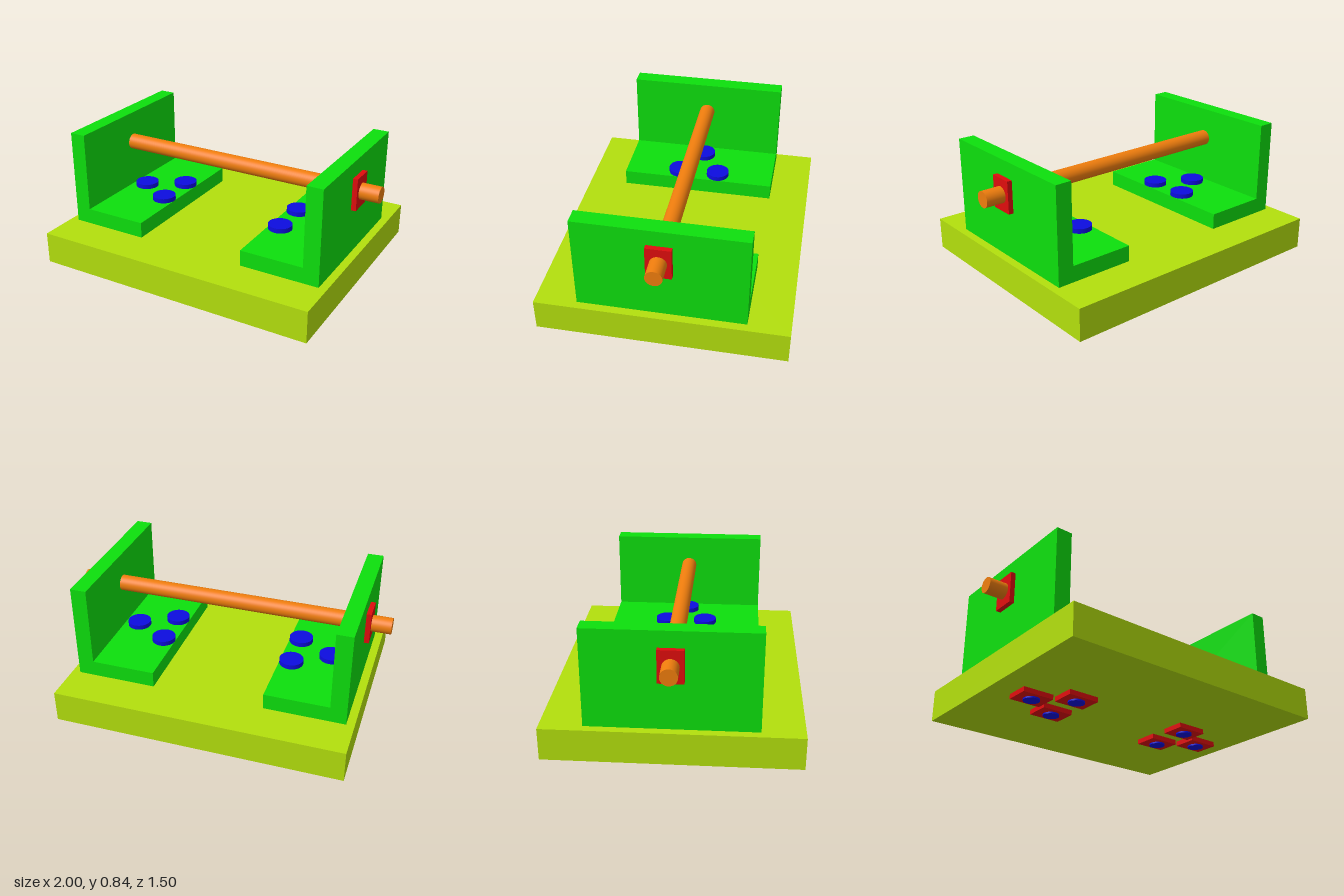
import * as THREE from 'three';

const mat = (color) => new THREE.MeshStandardMaterial({ color });

export function createModel() {
  const group = new THREE.Group();
  const lime = mat(0xb3df0d), green = mat(0x0ddf0d), red = mat(0xdf0d0d);
  const blue = mat(0x0d0ddf), orange = mat(0xef7d0d);

  const add = (parent, name, geometry, material, x, y, z) => {
    const mesh = new THREE.Mesh(geometry, material);
    mesh.name = name;
    mesh.position.set(x, y, z);
    parent.add(mesh);
    return mesh;
  };

  // Base slab
  add(group, 'base', new THREE.BoxGeometry(1.8, 0.2, 1.5), lime, 0, 0.14, 0);

  // Axle through both brackets
  const axle = add(group, 'axle', new THREE.CylinderGeometry(0.05, 0.05, 2, 48), orange, 0, 0.64, 0);
  axle.rotation.z = Math.PI / 2;

  const headGeo = new THREE.CylinderGeometry(0.075, 0.075, 0.03, 48);
  const shankGeo = new THREE.CylinderGeometry(0.05, 0.05, 0.34, 48);
  const nutGeo = new THREE.BoxGeometry(0.2, 0.03, 0.15);
  const plateGeo = new THREE.BoxGeometry(0.03, 0.2, 0.15);

  for (const [side, s] of [['left', 1], ['right', -1]]) {
    const assembly = new THREE.Group();
    assembly.name = side + 'Support';
    group.add(assembly);

    // L-shaped bracket, drawn in x/y and extruded along z
    const outline = [[0.35, 0.24], [0.85, 0.24], [0.85, 0.84], [0.75, 0.84], [0.75, 0.34], [0.35, 0.34]];
    const shape = new THREE.Shape(outline.map(([x, y]) => new THREE.Vector2(s * x, y)));
    const bracketGeo = new THREE.ExtrudeGeometry(shape, { depth: 1, bevelEnabled: false });
    add(assembly, side + 'Bracket', bracketGeo, green, 0, 0, -0.5);

    // Retaining plate on the outer face
    add(assembly, side + 'AxlePlate', plateGeo, red, s * 0.865, 0.64, 0);

    // Bolts: head on the bracket foot, shank through the base, nut below
    for (const [x, z] of [[0.425, 0.13], [0.425, -0.13], [0.65, 0]]) {
      const bolt = new THREE.Group();
      bolt.name = side + 'Bolt';
      bolt.position.set(s * x, 0, z);
      assembly.add(bolt);
      add(bolt, 'boltHead', headGeo, blue, 0, 0.355, 0);
      add(bolt, 'boltShank', shankGeo, blue, 0, 0.17, 0);
      add(bolt, 'boltNut', nutGeo, red, 0, 0.025, 0);
    }
  }
  return group;
}
